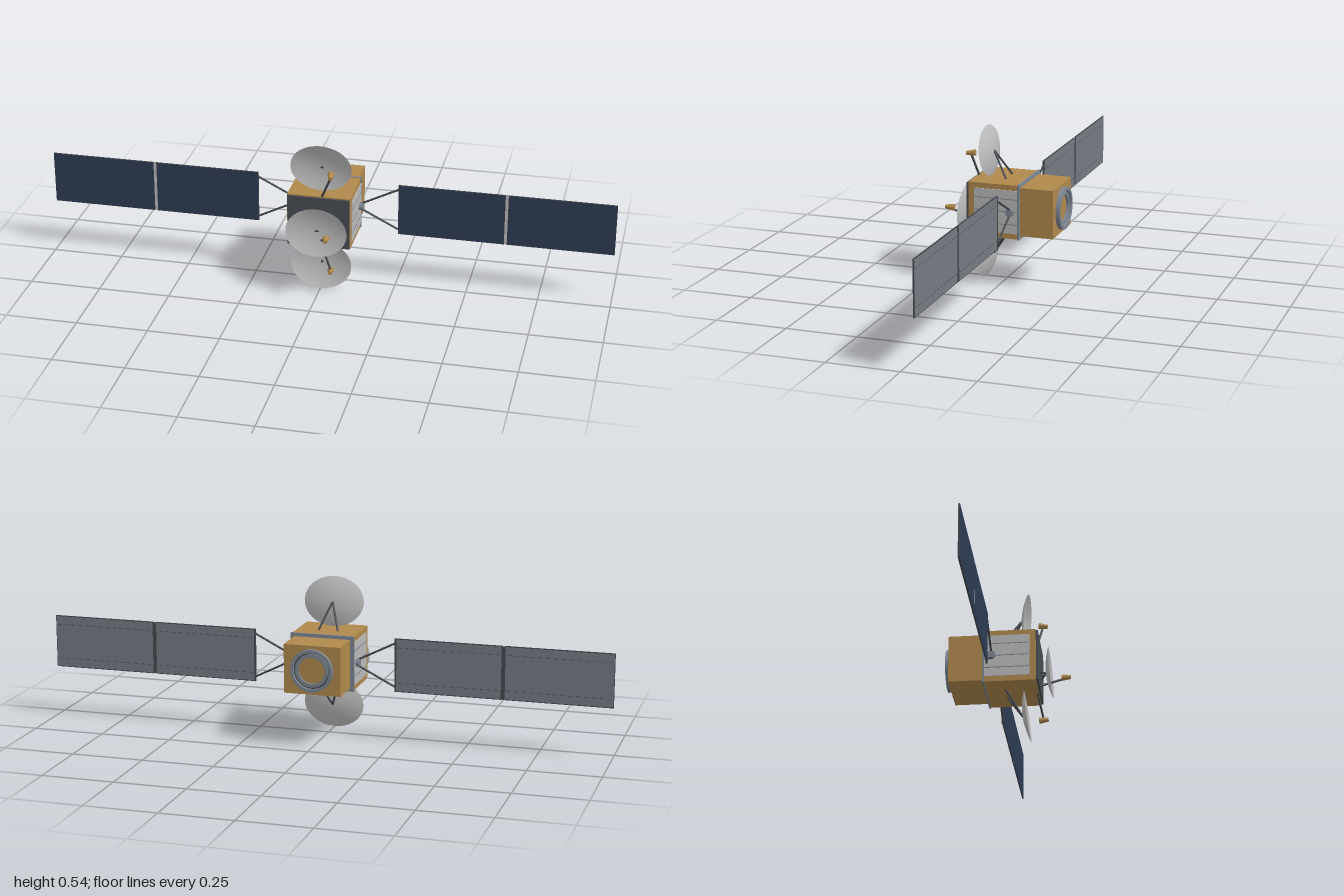
import * as THREE from 'three';

const mat = (name, color, side = THREE.FrontSide) => {
  const m = new THREE.MeshStandardMaterial({ color, side });
  m.name = name;
  return m;
};

export function createModel() {
  const gold = mat('gold foil', 0xb0894c);
  const navy = mat('solar cell navy', 0x2d3b53);
  const backGrey = mat('panel back grey', 0x757a82);
  const pale = mat('radiator grey', 0xbababa);
  const dishGrey = mat('dish grey', 0xbebebe, THREE.DoubleSide);
  const plateGrey = mat('front plate grey', 0x484d53);
  const metal = mat('metal blue grey', 0x7e8792);
  const dark = mat('strut dark grey', 0x44484e);

  const model = new THREE.Group();
  model.name = 'satellite';
  const MID = 0.273; // height of the body axis

  const add = (name, geo, material, x = 0, y = 0, z = 0, parent = model) => {
    const mesh = new THREE.Mesh(geo, material);
    mesh.name = name;
    mesh.position.set(x, y, z);
    parent.add(mesh);
    return mesh;
  };
  // box given by its centre x, y and its z range
  const box = (name, material, w, h, z0, z1, x = 0, y = MID, parent = model) =>
    add(name, new THREE.BoxGeometry(w, h, Math.abs(z1 - z0)), material, x, y, (z0 + z1) / 2, parent);
  // tapered rod between two points
  const rod = (name, material, a, b, r0, r1 = r0, sides = 10) => {
    const from = new THREE.Vector3(...a), to = new THREE.Vector3(...b);
    const dir = to.clone().sub(from);
    const mid = from.clone().add(to).multiplyScalar(0.5);
    const mesh = add(name, new THREE.CylinderGeometry(r1, r0, dir.length(), sides), material, mid.x, mid.y, mid.z);
    mesh.quaternion.setFromUnitVectors(new THREE.Vector3(0, 1, 0), dir.normalize());
    return mesh;
  };

  // Body
  box('mainBody', gold, 0.22, 0.19, -0.078, 0.105);
  box('frontPlate', plateGrey, 0.216, 0.183, 0.105, 0.112);
  box('collar', metal, 0.226, 0.194, -0.079, -0.072);
  box('rearBody', gold, 0.2, 0.17, -0.197, -0.078);

  // Engine ring: stepped hollow ring around a gold centre
  const ringProfile = [[0.046, 0], [0.046, 0.009], [0.058, 0.009], [0.058, 0.004], [0.063, 0.004],
    [0.063, 0.015], [0.074, 0.015], [0.074, 0]].map(([r, y]) => new THREE.Vector2(r, y));
  // separate bands keep the ring edges crisp
  for (let i = 0; i < ringProfile.length - 1; i++) {
    const groove = i === 3;
    const geo = new THREE.LatheGeometry([ringProfile[i + 1], ringProfile[i]], 40);
    geo.rotateX(-Math.PI / 2);
    const m = groove ? ringDark() : ringMetal();
    add('engineRing', geo, m, 0, MID, -0.197);
  }
  function ringMetal() { metal.side = THREE.DoubleSide; return metal; }
  function ringDark() { dark.side = THREE.DoubleSide; return dark; }

  // Both sides: radiators, hubs, wings
  for (const s of [1, -1]) {
    box('radiator', pale, 0.004, 0.152, -0.072, 0.083, s * 0.111);
    for (const y of [0.229, 0.274, 0.318]) box('radiatorLine', metal, 0.003, 0.003, -0.072, 0.081, s * 0.1125, y);

    const zw = -0.047;
    rod('wingHub', metal, [s * 0.108, MID, zw], [s * 0.126, MID, zw], 0.014, 0.014, 18);
    for (const k of [1, -1])
      rod('wingStrut', dark, [s * 0.118, MID + k * 0.01, zw], [s * 0.251, MID + k * 0.077, zw], 0.0035);

    for (const x0 of [0.25, 0.63]) {
      const cx = s * (x0 + 0.185);
      box('panelCore', dark, 0.37, 0.187, zw - 0.002, zw + 0.002, cx);
      box('solarCells', navy, 0.368, 0.184, zw + 0.002, zw + 0.003, cx);
      box('panelBack', backGrey, 0.366, 0.181, zw - 0.003, zw - 0.002, cx);
      // dashed seams on the back
      for (const k of [1, -1])
        for (let i = 0; i < 14; i++)
          box('seamDash', dark, 0.012, 0.002, zw - 0.0036, zw - 0.003, s * (x0 + 0.016 + i * 0.026), MID + k * 0.062);
    }
    box('panelHinge', dark, 0.012, 0.184, zw - 0.004, zw, s * 0.625);
    box('hingeStrip', pale, 0.01, 0.184, zw, zw + 0.002, s * 0.625);
    box('innerEdge', dark, 0.006, 0.187, zw - 0.004, zw + 0.002, s * 0.252);
  }

  // Dishes: shallow oval bowls opening to the front
  const bowl = [];
  for (let i = 0; i <= 10; i++) bowl.push(new THREE.Vector2(Math.max(i / 10, 0.0001), 0.018 * ((i / 10) ** 2 - 1)));
  const dish = (name, y, z, tilt) => {
    const geo = new THREE.LatheGeometry(bowl, 48);
    geo.rotateX(Math.PI / 2);
    geo.scale(0.107, 0.0875, 1);
    add(name, geo, dishGrey, 0, y, z).rotation.x = tilt;
  };
  // Horn: wide mouth toward the dish
  const horn = (mouth, tip) => {
    rod('feedHorn', gold, mouth, tip, 0.0115, 0.007, 16);
  };

  // Upper and lower dishes mirror each other
  for (const k of [1, -1]) {
    const Y = (y) => MID + k * (y - MID);
    dish(k > 0 ? 'upperDish' : 'lowerDish', Y(0.4565), 0.067, k * 0.115);
    for (const s of [1, -1])
      rod('dishStrut', dark, [0, Y(0.457), 0.05], [s * 0.036, Y(0.364), -0.008], 0.0035);
    rod('feedArm', dark, [0.01, Y(0.364), 0.1], [0.045, Y(0.448), 0.117], 0.004);
    horn([0.043, Y(0.4545), 0.102], [0.046, Y(0.451), 0.134]);
  }

  // Front dish
  dish('frontDish', 0.25, 0.148, -0.063);
  for (const s of [1, -1])
    rod('dishStrut', dark, [0, 0.25, 0.131], [s * 0.036, 0.239, 0.109], 0.0035);
  rod('feedArm', dark, [0.005, 0.205, 0.109], [0.045, 0.247, 0.19], 0.004);
  horn([0.043, 0.251, 0.181], [0.046, 0.253, 0.213]);

  return model;
}
